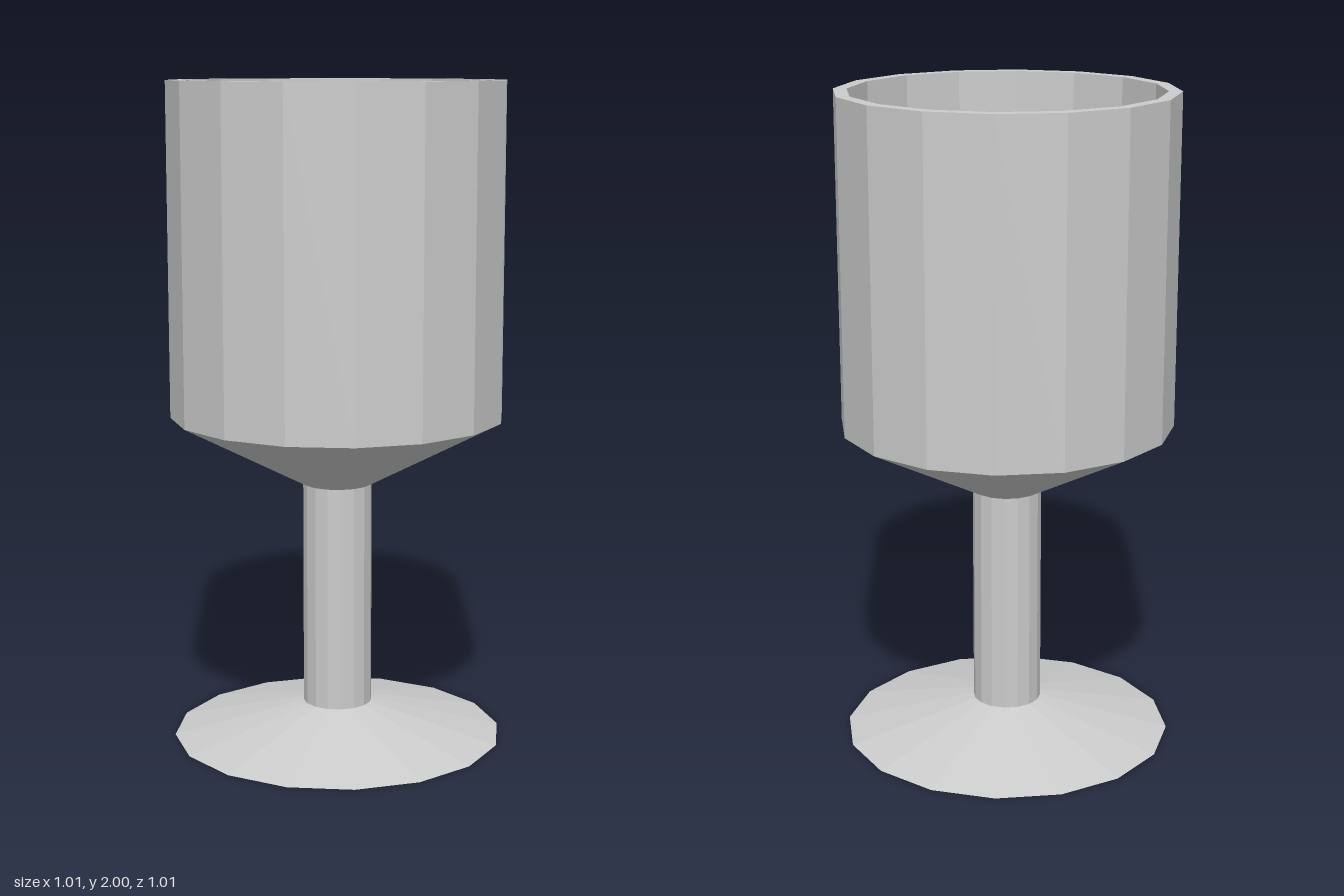
import * as THREE from 'three';

const SIDES = 16;
const RIM = 0.505, INNER = 0.465, STEM = 0.105;

export function createModel() {
  const goblet = new THREE.Group();
  goblet.name = 'goblet';
  const material = new THREE.MeshStandardMaterial({ color: 0xcccccc, flatShading: true });

  // Turns a [radius, height] profile, listed from the underside outwards and up
  const turn = (name, profile) => {
    const points = profile.map(([r, y]) => new THREE.Vector2(r, y));
    const mesh = new THREE.Mesh(new THREE.LatheGeometry(points, SIDES), material);
    mesh.name = name;
    goblet.add(mesh);
  };

  // Flat-bottomed foot sloping up to the stem
  turn('foot', [[0, 0], [RIM, 0], [STEM, 0.1]]);

  // Straight stem
  turn('stem', [[STEM, 0.1], [STEM, 0.79]]);

  // Bowl: sloped underside, straight wall, flat rim, inner wall and flat floor
  turn('bowl', [[STEM, 0.79], [RIM, 1], [RIM, 2], [INNER, 2], [INNER, 1.02], [0, 1.02]]);

  return goblet;
}
